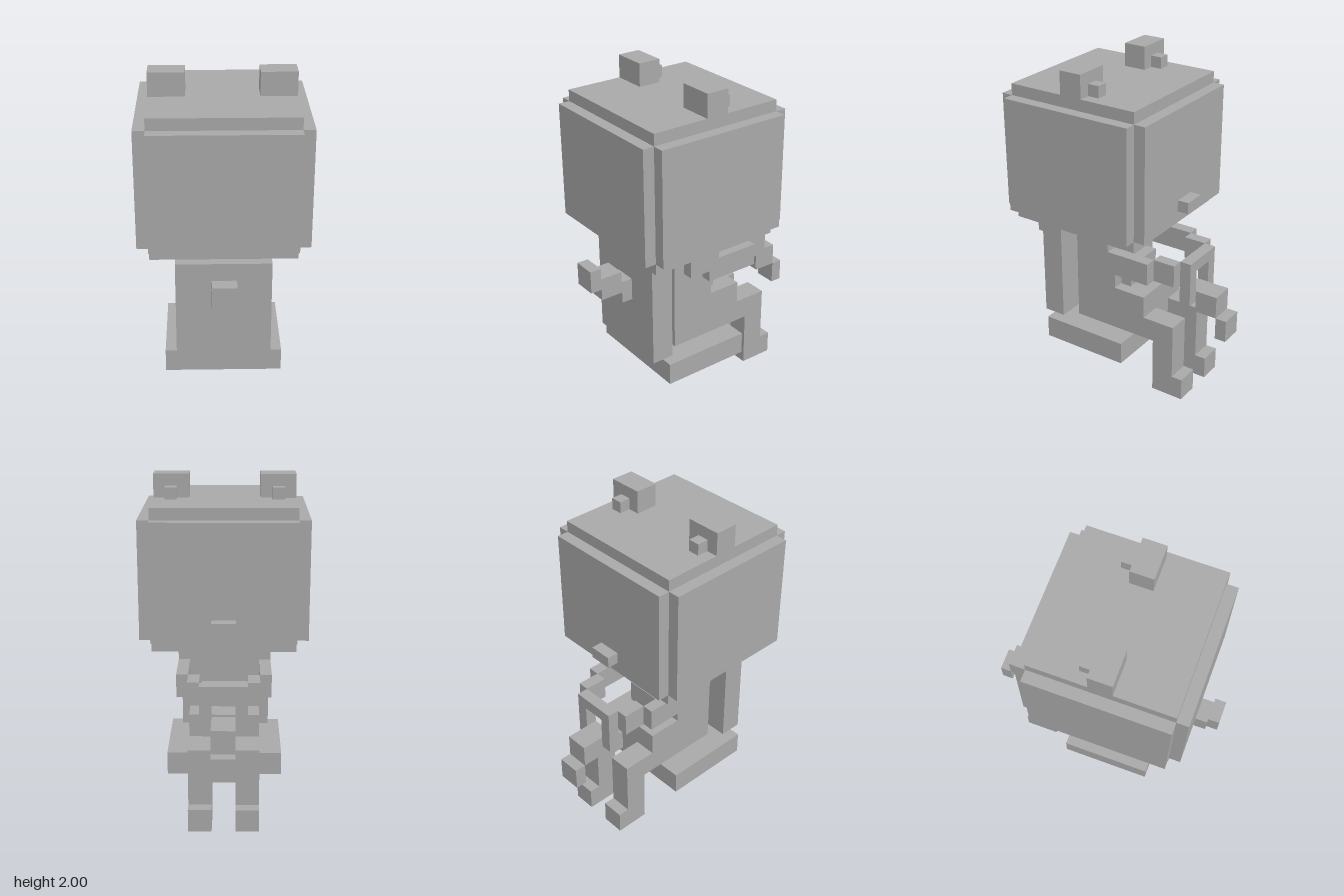
import * as THREE from 'three';

const U = 2 / 29; // one voxel

export function createModel() {
  const root = new THREE.Group();
  root.name = 'seatedFigure';
  const grey = new THREE.MeshStandardMaterial({ color: 0xa8a8a8 });
  grey.name = 'grey';

  // Box given by its limits in voxels
  function box(name, x0, x1, y0, y1, z0, z1) {
    const g = new THREE.BoxGeometry((x1 - x0) * U, (y1 - y0) * U, (z1 - z0) * U);
    const m = new THREE.Mesh(g, grey);
    m.position.set((x0 + x1) / 2 * U, (y0 + y1) / 2 * U, (z0 + z1) / 2 * U);
    m.name = name;
    root.add(m);
  }
  // The same box on both sides
  function pair(name, x0, x1, ...rest) {
    box(name + 'Left', x0, x1, ...rest);
    box(name + 'Right', -x1, -x0, ...rest);
  }

  // Head: core with a raised panel on each side
  box('headCore', -6, 6, 15, 27, -4.5, 7.5);
  pair('headSidePanel', 6, 7, 16, 26, -4.5, 7.5);
  box('facePanel', -6, 6, 16, 26, -5.5, -4.5);
  box('headBackPanel', -6, 6, 16, 26, 7.5, 8.5);
  pair('ear', 3, 6, 27, 29, 0.5, 2.5);
  pair('innerEar', 4, 5, 27, 28, -0.5, 0.5);
  box('nose', -1, 1, 17, 18, -6.5, -5.5);
  box('neck', -1, 1, 14, 15, 0.5, 2.5);

  // Chair
  box('chairBack', -4, 4, 5, 14, 4.5, 6.5);
  box('chairSeat', -5, 5, 3, 5, -2.5, 5.5);

  // Body
  box('torso', -3, 3, 9, 14, -0.5, 3.5);
  box('belly', -2, 2, 9, 11, -1.5, -0.5);
  box('lap', -3, 3, 5, 9, -3.5, 3.5);

  // Legs
  pair('thigh', 1, 3, 5, 7, -4.5, -3.5);
  pair('shin', 1, 3, 0, 7, -6.5, -4.5);
  pair('foot', 1, 3, 0, 2, -7.5, -6.5);

  // Arms
  pair('shoulder', 3, 4, 12, 14, -0.5, 2.5);
  pair('forearm', 3, 4, 11, 13, -4.5, 0.5);
  pair('hand', 2, 3, 11, 13, -6.5, -4.5);

  // Held ring with a hanging end
  box('ringTop', -2, 2, 12, 13, -7.5, -6.5);
  pair('ringSide', 1, 2, 10, 12, -7.5, -6.5);
  box('ringBottom', -2, 2, 9, 10, -7.5, -6.5);
  box('hangingBlock', -1, 1, 8, 10, -9.5, -7.5);
  box('hangingTip', -1, 1, 6, 8, -10.5, -9.5);

  // Tail, passing through the chair back
  box('tailBase', -1, 1, 9, 11, 3.5, 4.5);
  box('tailLower', -1, 1, 10, 12, 6.5, 7.5);
  box('tailMiddle', -1, 1, 11, 13, 7.5, 9.5);
  box('tailTip', -1, 1, 12, 14, 9.5, 10.5);

  return root;
}
